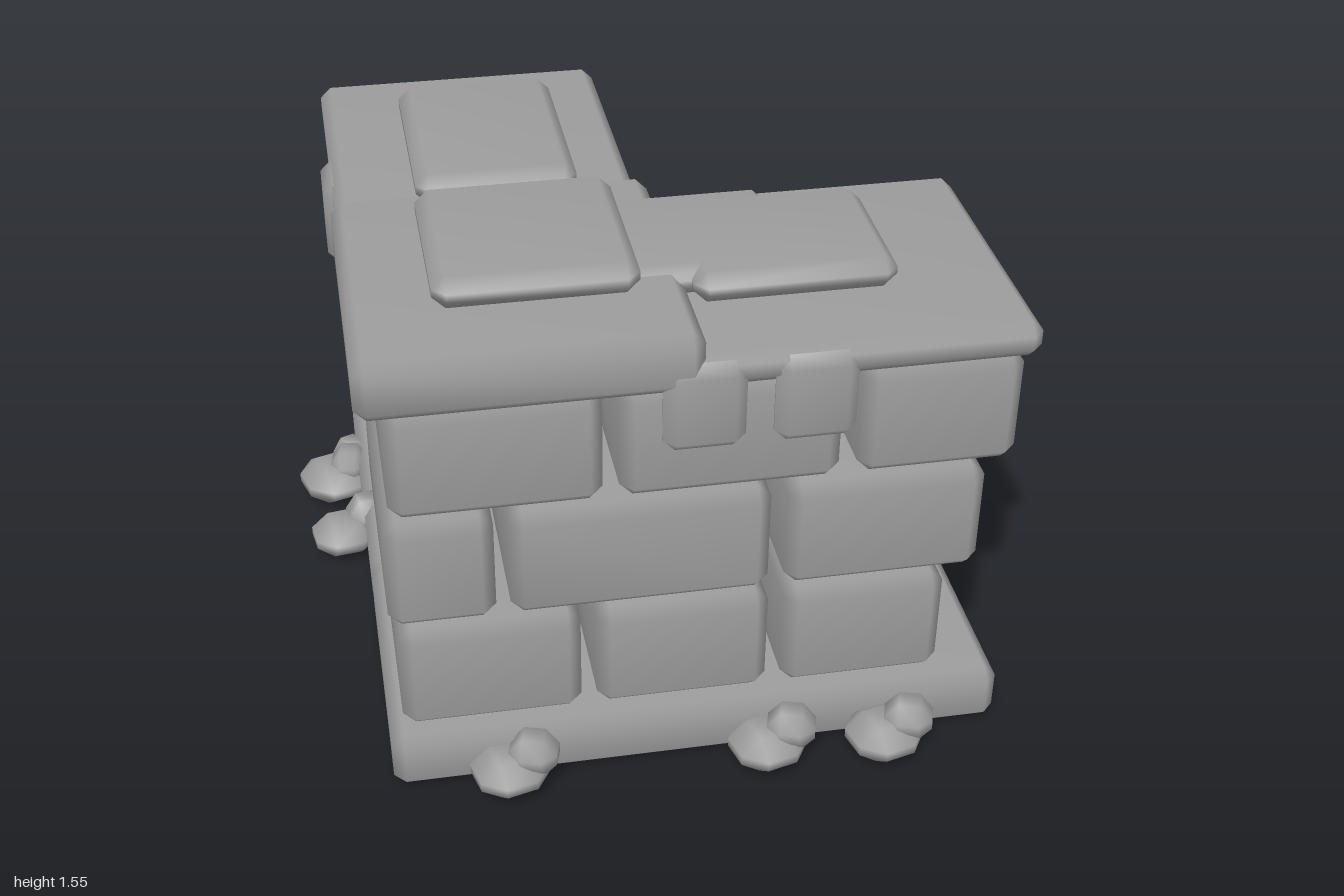
import * as THREE from 'three';
import { mergeVertices } from 'three/addons/utils/BufferGeometryUtils.js';
import { ConvexGeometry } from 'three/addons/geometries/ConvexGeometry.js';

const stone = new THREE.MeshStandardMaterial({ color: 0x9c9c9c });
stone.name = 'stone grey';

// Chamfered box with soft, shared normals; bx, by, bz are the chamfers along each axis
function chamferedBox(w, h, d, bx, by = bx, bz = bx) {
  const points = [];
  for (const sx of [-1, 1]) for (const sy of [-1, 1]) for (const sz of [-1, 1]) {
    const x = w / 2, y = h / 2, z = d / 2;
    points.push(
      new THREE.Vector3(sx * x, sy * (y - by), sz * (z - bz)),
      new THREE.Vector3(sx * (x - bx), sy * y, sz * (z - bz)),
      new THREE.Vector3(sx * (x - bx), sy * (y - by), sz * z));
  }
  let geometry = new ConvexGeometry(points);
  geometry.deleteAttribute('normal');
  geometry = mergeVertices(geometry, 1e-4);
  geometry.computeVertexNormals();
  return geometry;
}

// Stone given by its extents on each axis
function addStone(parent, name, [x0, x1], [y0, y1], [z0, z1], bevel) {
  const mesh = new THREE.Mesh(chamferedBox(x1 - x0, y1 - y0, z1 - z0, bevel), stone);
  mesh.position.set((x0 + x1) / 2, (y0 + y1) / 2, (z0 + z1) / 2);
  mesh.name = name;
  parent.add(mesh);
  return mesh;
}

function addGroup(parent, name) {
  const group = new THREE.Group();
  group.name = name;
  parent.add(group);
  return group;
}

export function createModel() {
  const model = new THREE.Group();
  model.name = 'cornerWall';

  // Base slabs forming an L
  const base = addGroup(model, 'base');
  addStone(base, 'frontBase', [-0.8, 0.99], [0, 0.18], [-0.03, 0.81], 0.034);
  addStone(base, 'backBase', [-0.8, 0.03], [0.005, 0.18], [-0.99, -0.025], 0.034);

  // Three courses of blocks: spans along x in the front wing, along z in the back wing
  const courses = [
    { y: [0.19, 0.535], front: [[-0.76, -0.245], [-0.2, 0.295], [0.34, 0.81]], back: [[-0.525, -0.05], [-0.965, -0.57]] },
    { y: [0.555, 0.9], front: [[-0.78, -0.48], [-0.44, 0.29], [0.335, 0.9]], back: [[-0.335, -0.03], [-0.965, -0.37]] },
    { y: [0.92, 1.265], front: [[-0.76, -0.18], [-0.135, 0.475], [0.525, 0.975]], back: [[-0.755, -0.05], [-0.965, -0.8]] },
  ];
  courses.forEach(({ y, front, back }, i) => {
    const course = addGroup(model, `course${i + 1}`);
    front.forEach((x) => addStone(course, 'frontBlock', x, y, [0, 0.77], 0.037));
    back.forEach((z) => addStone(course, 'backBlock', [-0.76, 0], y, z, 0.037));
  });

  // Cap slabs, the corner one thicker
  const caps = addGroup(model, 'caps');
  addStone(caps, 'cornerCap', [-0.83, 0.08], [1.285, 1.46], [-0.08, 0.835], 0.034);
  addStone(caps, 'frontCap', [0, 0.995], [1.285, 1.39], [-0.06, 0.82], 0.032);
  addStone(caps, 'backCap', [-0.815, 0.065], [1.285, 1.39], [-0.99, -0.055], 0.032);

  // Loose flat stones on top
  const tops = addGroup(model, 'topStones');
  addStone(tops, 'cornerTopStone', [-0.6, -0.05], [1.46, 1.555], [0.06, 0.61], 0.036);
  addStone(tops, 'middleTopStone', [-0.12, 0.39], [1.385, 1.48], [0.075, 0.52], 0.036);
  addStone(tops, 'frontTopStone', [0.1, 0.66], [1.39, 1.483], [0.12, 0.58], 0.036);
  addStone(tops, 'backTopStone', [-0.58, -0.11], [1.385, 1.483], [-0.755, -0.1], 0.036);

  // Thin plates hanging over the edge of the caps
  const tabs = addGroup(model, 'hangingPlates');
  for (const x of [0.08, 0.38]) {
    addStone(tabs, 'frontPlate', [x - 0.112, x + 0.112], [1.105, 1.37], [0.77, 0.842], 0.033);
  }
  addStone(tabs, 'sidePlate', [-0.842, -0.77], [1.105, 1.365], [-0.535, -0.305], 0.033);

  // Rubble at the foot: centre, size, turn about y
  const rubble = addGroup(model, 'rubble');
  const addRock = (x, y, z, w, h, d, turn) => {
    const rock = new THREE.Mesh(chamferedBox(w, h, d, w * 0.28, h * 0.38, d * 0.28), stone);
    rock.position.set(x, y, z);
    rock.rotation.y = turn;
    rock.name = 'rock';
    rubble.add(rock);
  };
  for (const [x, z] of [[-0.47, 0.84], [0.28, 0.86], [0.625, 0.88]]) {
    addRock(x, 0.07, z, 0.21, 0.12, 0.2, 0.25);
    addRock(x + 0.07, 0.12, z, 0.14, 0.13, 0.13, -0.3);
  }
  addRock(-0.88, 0.07, -0.67, 0.22, 0.125, 0.23, 0.3);
  addRock(-0.83, 0.12, -0.67, 0.12, 0.13, 0.13, -0.2);
  addRock(-0.82, 0.11, -0.74, 0.11, 0.12, 0.12, 0.4);
  addRock(-0.87, 0.07, -0.35, 0.2, 0.12, 0.19, 0.15);
  addRock(-0.79, 0.12, -0.38, 0.13, 0.13, 0.13, 0.2);

  return model;
}
